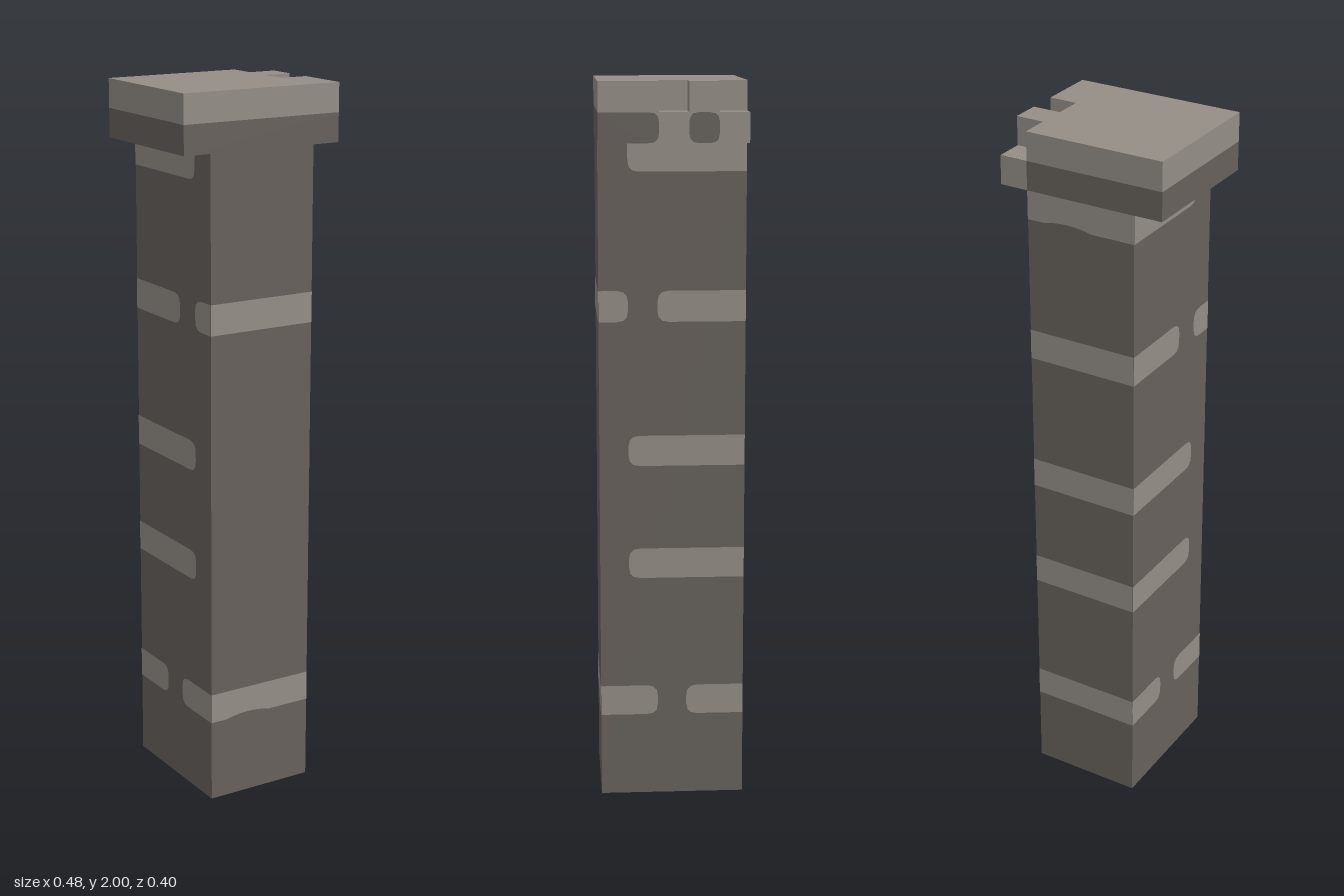
import * as THREE from 'three';

export function createModel() {
  const model = new THREE.Group();
  const dark = new THREE.MeshStandardMaterial({ color: 0x67615c });
  dark.name = 'dark stone';
  const light = new THREE.MeshStandardMaterial({ color: 0x948e86 });
  light.name = 'light stone';

  const add = (name, geometry, material, parent = model) => {
    const mesh = new THREE.Mesh(geometry, material);
    mesh.name = name;
    parent.add(mesh);
    return mesh;
  };

  // Shaft
  add('shaft', new THREE.BoxGeometry(0.32, 1.84, 0.4).translate(0, 0.92, 0), dark);

  // Lower cap slab: light on top (notch floors) and on the notched +x side
  add('capBase', new THREE.BoxGeometry(0.48, 0.08, 0.4).translate(0, 1.88, 0),
    [light, dark, light, dark, dark, dark]);

  // Upper cap slab with two notches cut into the +x edge
  const outline = [[-0.24, -0.2], [0.24, -0.2], [0.24, -0.04], [0.16, -0.04], [0.16, 0.04],
    [0.24, 0.04], [0.24, 0.12], [0.16, 0.12], [0.16, 0.2], [-0.24, 0.2]];
  const capShape = new THREE.Shape(outline.map(([x, y]) => new THREE.Vector2(x, y)));
  add('capTop', new THREE.ExtrudeGeometry(capShape, { depth: 0.08, bevelEnabled: false })
    .rotateX(-Math.PI / 2).translate(0, 1.92, 0), light);

  // One frame per side, so patches are drawn flat and then turned into place
  const side = (name, angle) => {
    const group = new THREE.Group();
    group.name = name;
    group.rotation.y = angle;
    model.add(group);
    return group;
  };
  const front = side('frontBands', 0);
  const back = side('backBands', Math.PI);
  const plusX = side('plusXBands', Math.PI / 2);
  const minusX = side('minusXBands', -Math.PI / 2);

  // Thin patch with optional rounded left and right ends
  const patch = (name, parent, x0, x1, y0, y1, depth, material, rl = 0, rr = 0) => {
    const s = new THREE.Shape();
    s.moveTo(x0 + rl, y0);
    s.lineTo(x1 - rr, y0);
    if (rr) s.quadraticCurveTo(x1, y0, x1, y0 + rr);
    s.lineTo(x1, y1 - rr);
    if (rr) s.quadraticCurveTo(x1, y1, x1 - rr, y1);
    s.lineTo(x0 + rl, y1);
    if (rl) s.quadraticCurveTo(x0, y1, x0, y1 - rl);
    s.lineTo(x0, y0 + rl);
    if (rl) s.quadraticCurveTo(x0, y0, x0 + rl, y0);
    add(name, new THREE.ShapeGeometry(s, 3).translate(0, 0, depth + 0.001), material, parent);
  };

  // Band with a shallow rise in its lower edge
  const wavyBand = (parent, y0, y1) => {
    const s = new THREE.Shape();
    s.moveTo(-0.16, y0);
    s.lineTo(-0.11, y0);
    s.bezierCurveTo(-0.07, y0 + 0.012, -0.01, y0 + 0.012, 0.03, y0);
    s.lineTo(0.16, y0);
    s.lineTo(0.16, y1);
    s.lineTo(-0.16, y1);
    add('wavyBand', new THREE.ShapeGeometry(s, 6).translate(0, 0, 0.201), light, parent);
  };

  // Front and back bands
  patch('band', front, -0.16, 0.16, 1.355, 1.44, 0.2, light);
  wavyBand(front, 0.235, 0.32);
  for (const y of [1.355, 0.955, 0.635, 0.235]) {
    patch('band', back, -0.16, 0.16, y, y + 0.085, 0.2, light);
  }
  wavyBand(back, 1.76, 1.84);

  // Side bands as [z from, z to, bottom, top]; ends inside the face are rounded
  const bands = [[-0.2, 0.12, 1.76, 1.87], [-0.2, 0.04, 1.355, 1.44], [0.12, 0.2, 1.355, 1.44],
    [-0.2, 0.12, 0.955, 1.04], [-0.2, 0.12, 0.635, 0.72],
    [-0.2, -0.04, 0.235, 0.32], [0.04, 0.2, 0.235, 0.32]];
  const r = 0.03;
  for (const [z0, z1, y0, y1] of bands) {
    const r0 = z0 > -0.2 ? r : 0;
    const r1 = z1 < 0.2 ? r : 0;
    patch('band', plusX, -z1, -z0, y0, y1, 0.16, light, r1, r0);
    patch('band', minusX, z0, z1, y0, y1, 0.16, light, r0, r1);
  }

  // Dark patches between the light stone under the notches
  patch('capPatch', plusX, -0.2, -0.04, 1.84, 1.92, 0.24, dark, 0, 0.025);
  patch('capPatch', plusX, 0.04, 0.12, 1.84, 1.92, 0.24, dark, 0.025, 0.025);
  // Light stone below the corner notch on the back
  patch('capCorner', back, -0.24, -0.16, 1.84, 1.92, 0.2, light);

  return model;
}
